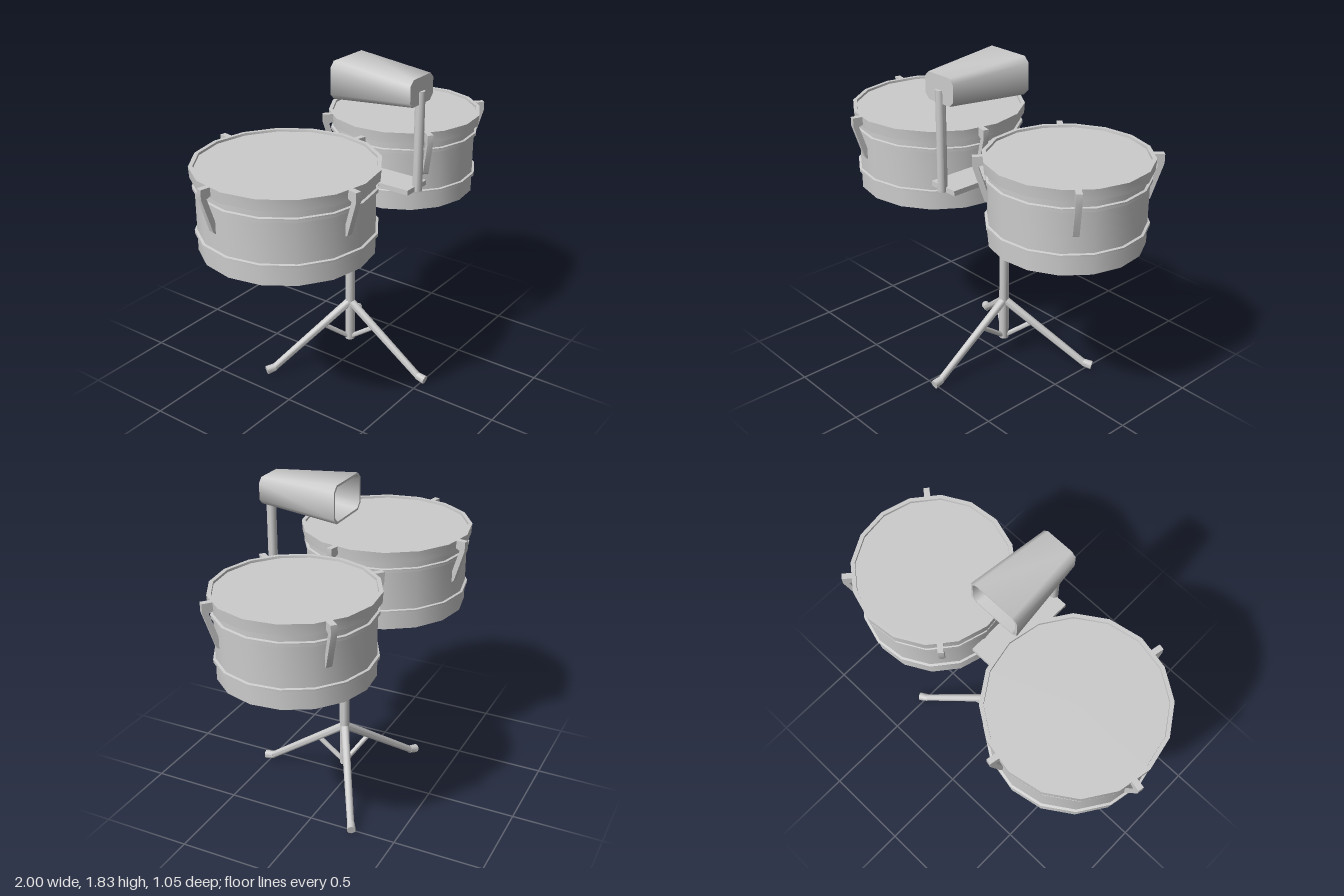
import * as THREE from 'three';
import { toCreasedNormals } from 'three/addons/utils/BufferGeometryUtils.js';

const material = new THREE.MeshStandardMaterial({ color: 0xcccccc });
const V = (x, y, z) => new THREE.Vector3(x, y, z);

function add(parent, name, geometry, crease = 0.6) {
  const mesh = new THREE.Mesh(crease ? toCreasedNormals(geometry, crease) : geometry, material);
  mesh.name = name;
  parent.add(mesh);
  return mesh;
}

// Round bar between two points
function bar(parent, name, a, b, rA, rB = rA, sides = 10) {
  const dir = b.clone().sub(a);
  const mesh = add(parent, name, new THREE.CylinderGeometry(rB, rA, dir.length(), sides), 0.8);
  mesh.position.copy(a).add(b).multiplyScalar(0.5);
  mesh.quaternion.setFromUnitVectors(V(0, 1, 0), dir.normalize());
  return mesh;
}

// Closed [radius, y] section spun around y, outer side listed upward
function spin(parent, name, section) {
  const pts = [...section, section[0]].map(([r, y]) => new THREE.Vector2(r, y));
  return add(parent, name, new THREE.LatheGeometry(pts, 16));
}

function drum(name, R, x, z, turn, lugAngle) {
  const g = new THREE.Group();
  g.name = name;
  g.position.set(x, 0, z);
  const body = new THREE.Group();
  body.rotation.y = -THREE.MathUtils.degToRad(turn);
  g.add(body);
  spin(body, 'shell', [[R, 0.96], [R, 1.4], [R - 0.015, 1.4], [R - 0.015, 0.96]]);
  spin(body, 'rim', [[R + 0.022, 1.36], [R + 0.026, 1.42], [R + 0.004, 1.42], [R - 0.002, 1.36]]);
  for (const y of [1.065, 1.308])
    spin(body, 'shellRing', [[R - 0.004, y - 0.013], [R + 0.013, y - 0.009], [R + 0.013, y + 0.009], [R - 0.004, y + 0.013]]);
  const head = add(body, 'drumHead', new THREE.CylinderGeometry(R + 0.008, R + 0.008, 0.015, 16));
  head.position.y = 1.4;

  // Four tension claws bent from the rim down to the shell
  const claw = new THREE.Shape([
    [R + 0.015, 1.42], [R + 0.015, 1.375], [R + 0.038, 1.365], [R - 0.003, 1.235],
    [R - 0.003, 1.17], [R + 0.01, 1.18], [R + 0.07, 1.37], [R + 0.07, 1.42],
  ].map(([r, y]) => new THREE.Vector2(r, y)));
  const clawGeometry = new THREE.ExtrudeGeometry(claw, { depth: 0.032, bevelEnabled: false }).translate(0, 0, -0.016);
  for (let i = 0; i < 4; i++)
    add(g, 'tensionClaw', clawGeometry).rotation.y = -THREE.MathUtils.degToRad(lugAngle + i * 90);
  return g;
}

// Chamfered rectangle, counterclockwise seen from the front
function chamferedRing(w, h, c, z) {
  return [[w, -h + c], [w, h - c], [w - c, h], [-w + c, h], [-w, h - c], [-w, -h + c], [-w + c, -h], [w - c, -h]]
    .map(([x, y]) => V(x, y, z));
}

// Hollow tapered bell, closed at the front and open at the back
function bellGeometry() {
  const rings = [
    Array(8).fill(V(0, 0, 0.44)),
    chamferedRing(0.106, 0.072, 0.027, 0.44),
    chamferedRing(0.153, 0.102, 0.03, -0.02),
    chamferedRing(0.142, 0.091, 0.026, -0.02),
    chamferedRing(0.096, 0.062, 0.023, 0.425),
    Array(8).fill(V(0, 0, 0.425)),
  ];
  const pts = [];
  for (let i = 0; i < rings.length - 1; i++)
    for (let k = 0; k < 8; k++) {
      const n = (k + 1) % 8;
      const a = rings[i][k], b = rings[i][n], c = rings[i + 1][n], d = rings[i + 1][k];
      if (i > 0) pts.push(a, d, b);
      else pts.push(a, d, c);
      if (i > 0 && i < rings.length - 2) pts.push(b, d, c);
    }
  return new THREE.BufferGeometry().setFromPoints(pts);
}

export function createModel() {
  const model = new THREE.Group();
  model.name = 'drumSet';
  model.add(drum('largeDrum', 0.46, -0.473, 0, 0, 11.4));
  model.add(drum('smallDrum', 0.408, 0.568, 0.025, 5, 40));

  // Everything on the centre post
  const stand = new THREE.Group();
  stand.name = 'stand';
  stand.position.x = 0.077;
  model.add(stand);
  bar(stand, 'centrePost', V(0, 0.12, 0), V(0, 1.19, 0), 0.028);

  // Tripod legs with braces and feet
  for (let i = 0; i < 3; i++) {
    const leg = new THREE.Group();
    leg.name = 'tripodLeg';
    leg.rotation.y = i * Math.PI * 2 / 3;
    stand.add(leg);
    bar(leg, 'legTube', V(0, 0.37, 0), V(0, 0.035, 0.48), 0.024, 0.02);
    bar(leg, 'legBrace', V(0, 0.13, 0.005), V(0, 0.25, 0.17), 0.014);
    bar(leg, 'foot', V(0, 0.037, 0.475), V(0, 0.027, 0.525), 0.022, 0.025);
  }

  // Plate that joins both drums to the post
  add(stand, 'bracketPlate', new THREE.BoxGeometry(0.18, 0.028, 0.53)).position.set(0, 1.193, 0.165);

  // Bell on its own upright
  bar(stand, 'bellPost', V(0, 1.18, 0.432), V(0, 1.725, 0.432), 0.026);
  add(stand, 'bell', bellGeometry(), 0.9).position.y = 1.729;
  return model;
}
